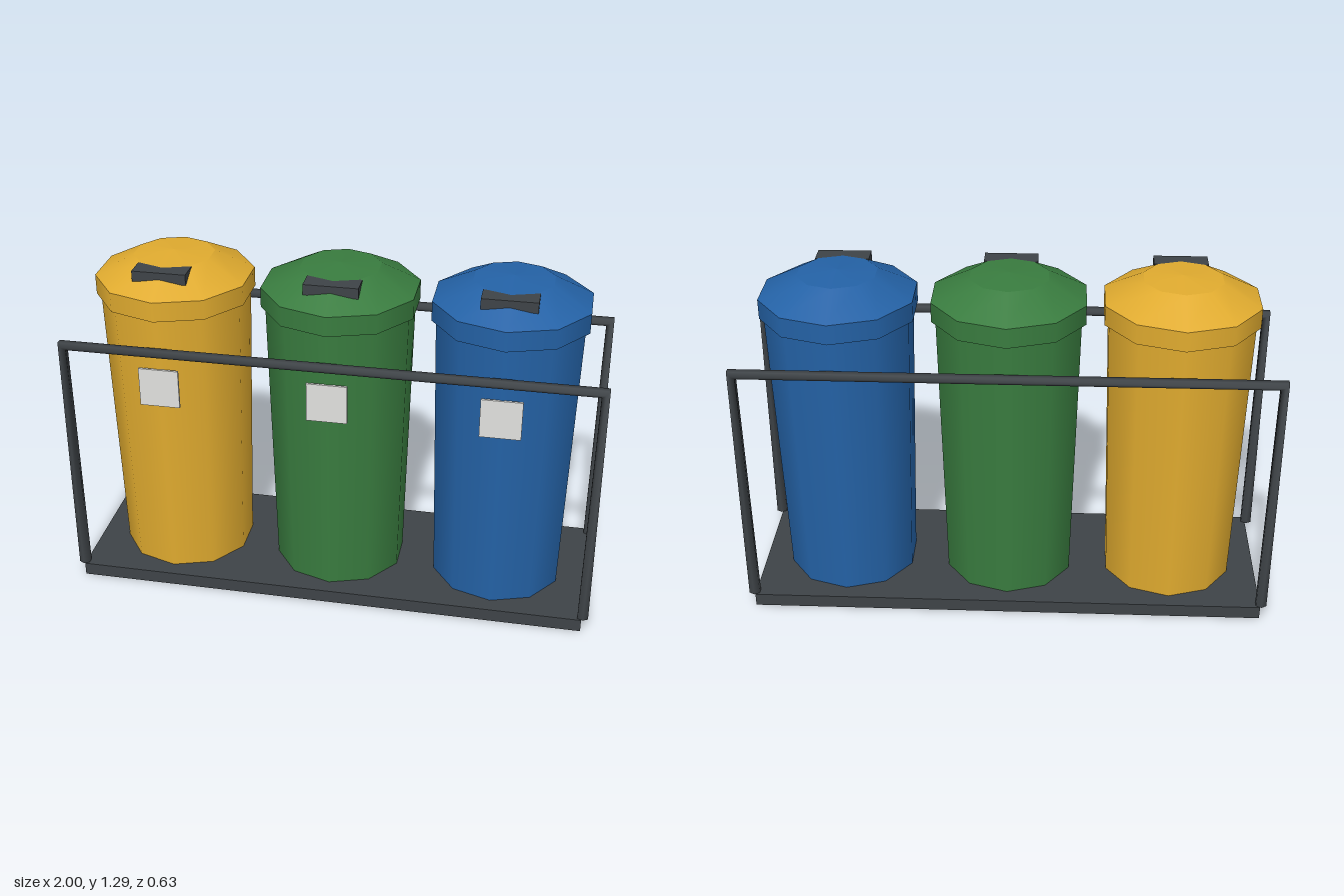
import * as THREE from 'three';

const mat = (name, color, side = THREE.FrontSide) => {
  const m = new THREE.MeshStandardMaterial({ color, side });
  m.name = name;
  return m;
};

function add(parent, name, geometry, material, x = 0, y = 0, z = 0) {
  const mesh = new THREE.Mesh(geometry, material);
  mesh.name = name;
  mesh.position.set(x, y, z);
  parent.add(mesh);
  return mesh;
}

// Six-sided bar swept along a bent path in the xy plane; corner rings lie on the bisector
function bentBar(points, radius, sides = 6) {
  const pos = [], index = [];
  points.forEach((p, i) => {
    const dir = new THREE.Vector2();
    if (i > 0) dir.add(p.clone().sub(points[i - 1]).normalize());
    if (i < points.length - 1) dir.add(points[i + 1].clone().sub(p).normalize());
    dir.normalize();
    for (let j = 0; j < sides; j++) {
      const a = (j / sides) * Math.PI * 2;
      const across = Math.sin(a) * radius;
      pos.push(p.x - dir.y * across, p.y + dir.x * across, Math.cos(a) * radius);
      if (i > 0) {
        const k = (j + 1) % sides, r0 = (i - 1) * sides, r1 = i * sides;
        index.push(r0 + j, r1 + j, r0 + k, r0 + k, r1 + j, r1 + k);
      }
    }
  });
  const g = new THREE.BufferGeometry();
  g.setAttribute('position', new THREE.Float32BufferAttribute(pos, 3));
  g.setIndex(index);
  g.computeVertexNormals();
  return g;
}

export function createModel() {
  const group = new THREE.Group();
  group.name = 'recyclingStation';
  const dark = mat('dark metal', 0x3e4347);
  const darkBar = mat('dark bar', 0x3e4347, THREE.DoubleSide);
  const label = mat('label grey', 0xe0e0de);
  const SIDES = 10;

  // Base tray
  add(group, 'base', new THREE.BoxGeometry(1.95, 0.05, 0.625), dark, 0, 0.025, 0);

  // Front and back guard rails
  const path = [[-0.98, 0.05], [-0.98, 1.005], [0.98, 1.005], [0.98, 0.05]]
    .map(([x, y]) => new THREE.Vector2(x, y));
  for (const [name, z] of [['frontRail', 0.29], ['backRail', -0.29]]) {
    add(group, name, bentBar(path, 0.023), darkBar, 0, 0, z);
  }

  // Three bins
  const bins = [
    ['yellow', 0xe0ab2f, -0.627],
    ['green', 0x397c3f, 0],
    ['blue', 0x2462a6, 0.627],
  ];
  for (const [name, color, x] of bins) {
    const paint = mat(name, color);
    const bin = new THREE.Group();
    bin.name = name + 'Bin';
    bin.position.x = x;
    group.add(bin);

    // Tapered body, lid rim, sloped lid and shallow cap
    add(bin, 'body', new THREE.CylinderGeometry(0.279, 0.252, 1.09, SIDES), paint, 0, 0.595, 0);
    add(bin, 'lidRim', new THREE.CylinderGeometry(0.295, 0.295, 0.075, SIDES), paint, 0, 1.1675, 0);
    add(bin, 'lidSlope', new THREE.CylinderGeometry(0.15, 0.295, 0.075, SIDES, 1, true), paint, 0, 1.2425, 0);
    add(bin, 'lidCap', new THREE.ConeGeometry(0.15, 0.011, SIDES, 1, true), paint, 0, 1.2855, 0);

    // Lid handle and front label
    add(bin, 'handle', new THREE.BoxGeometry(0.2, 0.04, 0.08), dark, 0, 1.26, 0.16);
    add(bin, 'label', new THREE.BoxGeometry(0.15, 0.15, 0.009), label, 0, 0.855, 0.2745);
  }
  return group;
}
